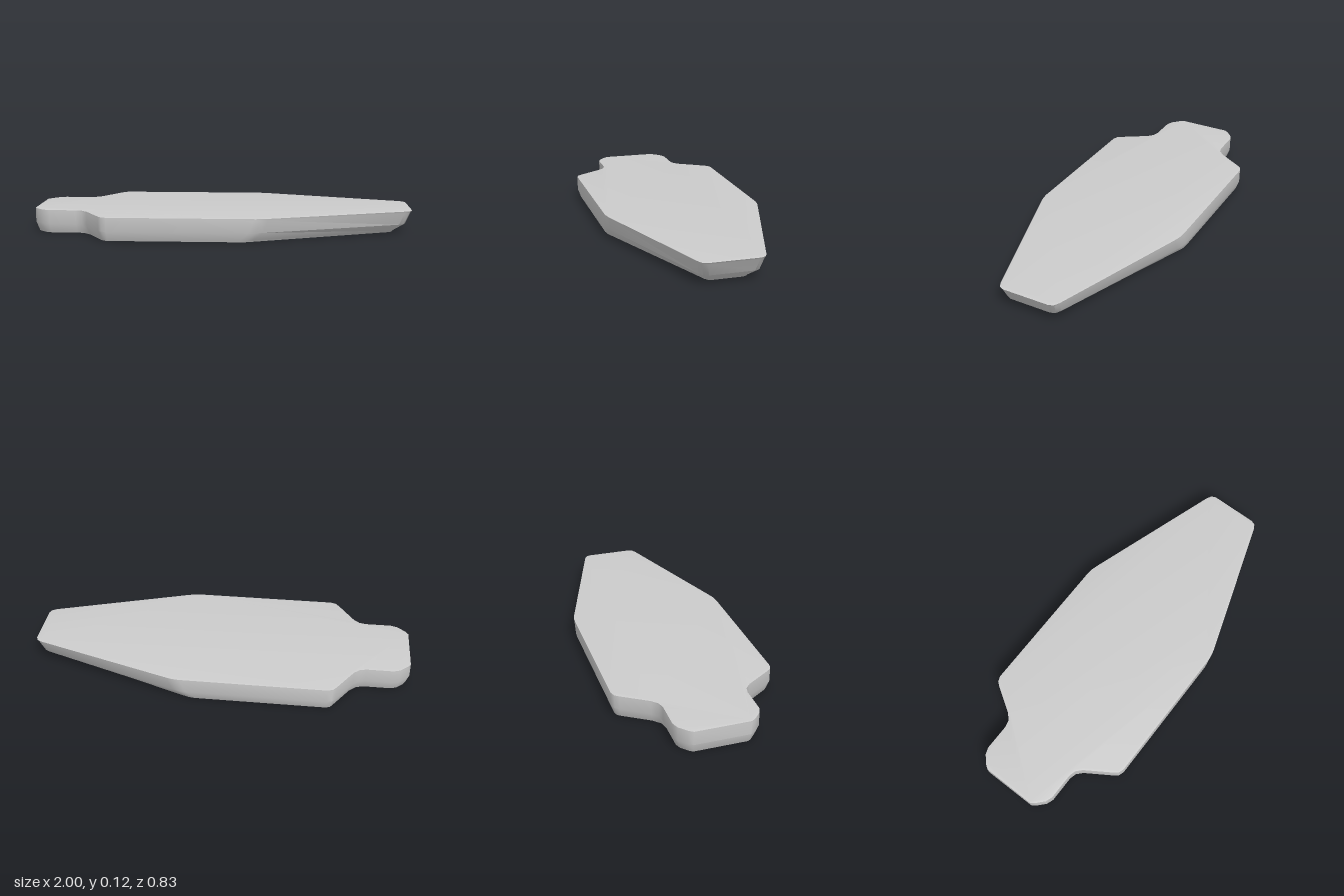
import * as THREE from 'three';
import { toCreasedNormals } from 'three/addons/utils/BufferGeometryUtils.js';

// Half outline [x, z] from the narrow head to the tapered nose, mirrored across z
const half = [
  [-1, 0.14], [-0.985, 0.163], [-0.945, 0.2], [-0.91, 0.213],
  [-0.77, 0.213], [-0.735, 0.222], [-0.705, 0.25],
  [-0.62, 0.383], [-0.603, 0.404], [-0.575, 0.414],
  [0.18, 0.414], [0.215, 0.41], [0.25, 0.4],
  [0.965, 0.163], [0.99, 0.149], [1, 0.125],
];
const outline = [...half, ...half.map(([x, z]) => [x, -z]).reverse()];

// Cross-section levels from top to bottom:
// inset = step inwards, rake = nose pulled back, pinch = nose narrowed
const levels = [
  { y: 0.125, inset: 0.01, rake: 0, pinch: 0 },
  { y: 0.123, inset: 0, rake: 0, pinch: 0 },
  { y: 0.113, inset: 0, rake: 0.008, pinch: 0.002 },
  { y: 0.05, inset: 0, rake: 0.034, pinch: 0.015 },
  { y: 0.01, inset: 0.014, rake: 0.075, pinch: 0.04 },
  { y: 0, inset: 0.018, rake: 0.08, pinch: 0.045 },
];

function makeRing({ y, inset, rake, pinch }) {
  const n = outline.length;
  return outline.map(([x, z], i) => {
    const a = outline[(i + n - 1) % n], b = outline[(i + 1) % n];
    const d1 = new THREE.Vector2(x - a[0], z - a[1]).normalize();
    const d2 = new THREE.Vector2(b[0] - x, b[1] - z).normalize();
    // Mitred outward normal
    const m = new THREE.Vector2(-d1.y - d2.y, d1.x + d2.x);
    m.multiplyScalar(2 / m.lengthSq());
    const nose = Math.max(0, (x - 0.2) / 0.8);
    return [
      x - m.x * inset - (x > 0.1 ? rake : 0),
      y,
      z - m.y * inset - Math.sign(z) * pinch * nose,
    ];
  });
}

function slabGeometry() {
  const rings = levels.map(makeRing);
  const n = outline.length;
  const index = [];
  // Walls between successive levels
  for (let k = 0; k < rings.length - 1; k++) {
    for (let i = 0; i < n; i++) {
      const j = (i + 1) % n;
      const a = k * n + i, b = (k + 1) * n + i, c = (k + 1) * n + j, d = k * n + j;
      index.push(a, b, c, a, c, d);
    }
  }
  // Flat top and underside
  const cap = (ring) => THREE.ShapeUtils.triangulateShape(
    ring.map(([x, , z]) => new THREE.Vector2(x, -z)), []);
  const last = (rings.length - 1) * n;
  for (const [a, b, c] of cap(rings[0])) index.push(a, b, c);
  for (const [a, b, c] of cap(rings[rings.length - 1])) index.push(last + a, last + c, last + b);

  const geometry = new THREE.BufferGeometry();
  geometry.setAttribute('position', new THREE.Float32BufferAttribute(rings.flat(2), 3));
  geometry.setIndex(index);
  return toCreasedNormals(geometry, 0.6);
}

export function createModel() {
  const group = new THREE.Group();
  group.name = 'taperedPlate';
  const slab = new THREE.Mesh(
    slabGeometry(),
    new THREE.MeshStandardMaterial({ color: 0xcccccc }),
  );
  slab.name = 'slab';
  group.add(slab);
  return group;
}
